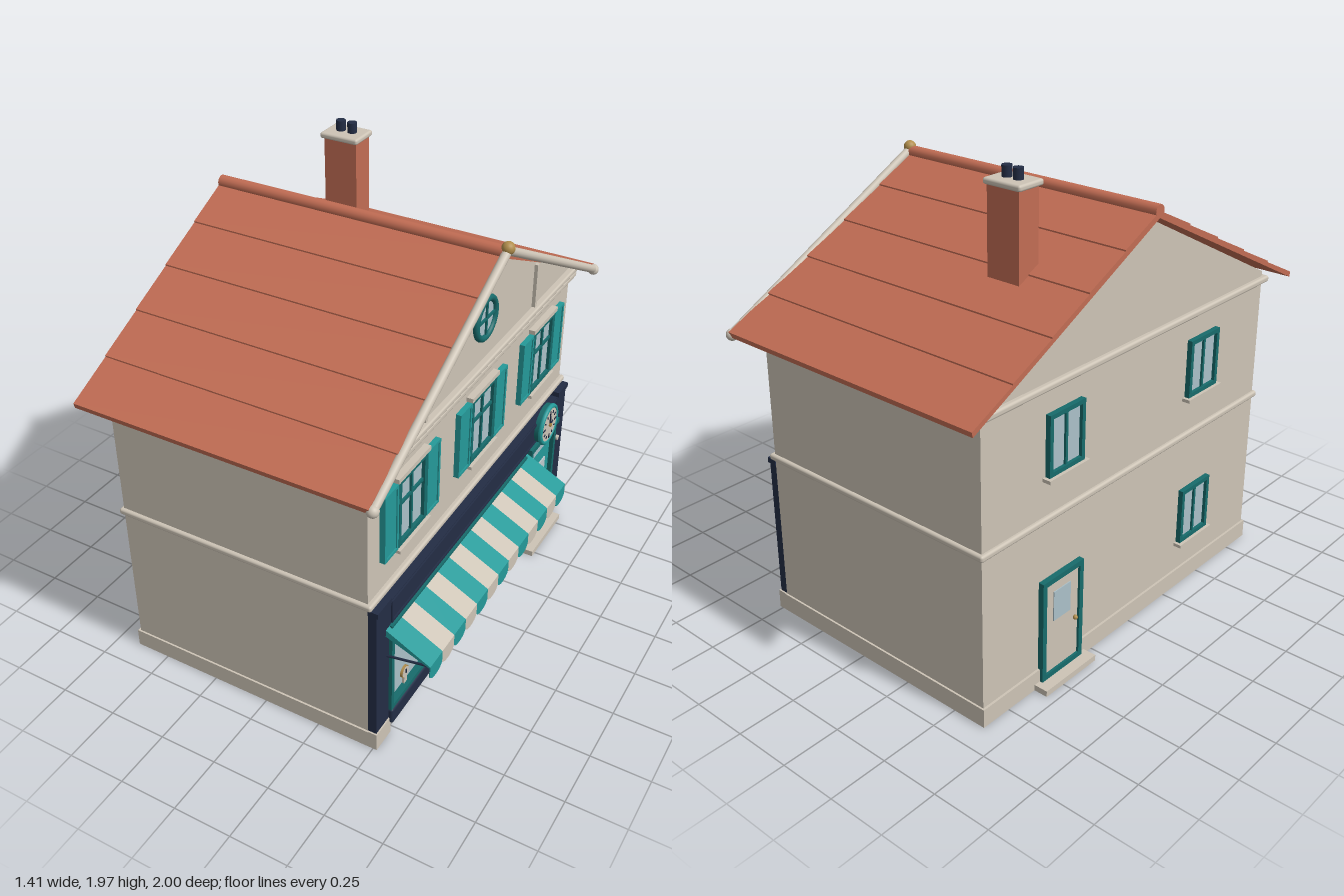
import * as THREE from 'three';
import { RoundedBoxGeometry } from 'three/addons/geometries/RoundedBoxGeometry.js';

const mat = (name, color, side = THREE.FrontSide) => {
  const m = new THREE.MeshStandardMaterial({ color, side });
  m.name = name;
  return m;
};

export function createModel() {
  const cream = mat('cream plaster', 0xcdc4b6, THREE.DoubleSide);
  const roofRed = mat('roof terracotta', 0xc26d54);
  const teal = mat('teal paint', 0x249a99, THREE.DoubleSide);
  const darkTeal = mat('dark teal frames', 0x176b6b);
  const navy = mat('navy paint', 0x232d45);
  const glass = mat('window glass', 0xabc0c8);
  const paleGlass = mat('pale door glass', 0xbfcacd);
  const brass = mat('brass', 0xb08d4c);

  const model = new THREE.Group();
  const shop = new THREE.Group(); // built facing local +z, then turned to face +x
  shop.name = 'shopBuilding';
  shop.rotation.y = Math.PI / 2;
  model.add(shop);

  const add = (parent, name, geo, material, x = 0, y = 0, z = 0) => {
    const m = new THREE.Mesh(geo, material);
    m.name = name;
    m.position.set(x, y, z);
    parent.add(m);
    return m;
  };
  // Box given by its extents
  const box = (parent, name, material, x0, x1, y0, y1, z0, z1, round = 0) => {
    const s = [x1 - x0, y1 - y0, z1 - z0];
    const geo = round ? new RoundedBoxGeometry(...s, 2, round) : new THREE.BoxGeometry(...s);
    return add(parent, name, geo, material, (x0 + x1) / 2, (y0 + y1) / 2, (z0 + z1) / 2);
  };
  const disc = (parent, name, material, r, depth, x, y, z) =>
    add(parent, name, new THREE.CylinderGeometry(r, r, depth, 32).rotateX(Math.PI / 2), material, x, y, z);
  const rod = (parent, name, material, a, b, r) => {
    const A = new THREE.Vector3(...a), B = new THREE.Vector3(...b);
    const m = add(parent, name, new THREE.CylinderGeometry(r, r, A.distanceTo(B), 14), material);
    m.position.copy(A).add(B).multiplyScalar(0.5);
    m.quaternion.setFromUnitVectors(new THREE.Vector3(0, 1, 0), B.sub(A).normalize());
    return m;
  };
  const poly = (pts) => new THREE.Shape(pts.map((p) => new THREE.Vector2(...p)));
  const extrude = (shape, depth) => new THREE.ExtrudeGeometry(shape, { depth, bevelEnabled: false, curveSegments: 16 });
  // Rectangular frame with an opening
  const frame = (parent, name, material, x0, x1, y0, y1, t, depth) => {
    const s = poly([[x0, y0], [x1, y0], [x1, y1], [x0, y1]]);
    s.holes.push(poly([[x0 + t, y0 + t], [x0 + t, y1 - t], [x1 - t, y1 - t], [x1 - t, y0 + t]]));
    return add(parent, name, extrude(s, depth), material);
  };

  // Walls with gables, plinth and horizontal mouldings
  add(shop, 'walls', extrude(poly([[-0.88, 0], [0.88, 0], [0.88, 1.3], [0, 1.752], [-0.88, 1.3]]), 1.115), cream, 0, 0, -0.64);
  box(shop, 'plinth', cream, -0.888, 0.888, 0.001, 0.08, -0.65, 0.485);
  box(shop, 'floorBand', cream, -0.895, 0.895, 0.715, 0.742, -0.655, 0.495, 0.01);
  box(shop, 'eavesCornice', cream, -0.91, 0.91, 1.25, 1.278, -0.66, 0.5, 0.01);
  box(shop, 'gableFrieze', cream, -0.94, 0.94, 1.28, 1.305, 0.47, 0.505, 0.008);
  for (const x of [-0.48, 0.48]) box(shop, 'gablePost', cream, x - 0.009, x + 0.009, 1.3, 1.5, 0.47, 0.49);

  // Roof: overlapping courses in a stepped profile
  const line = (x) => 1.785 - 0.51 * x;
  const half = [[0, 1.785]];
  for (let k = 0; k < 5; k++) {
    const x = (k + 1) * 0.199;
    half.push([x, line(x) + 0.006]);
    if (k < 4) half.push([x, line(x)]);
  }
  half.push([0.99, 1.262]);
  const mirrored = half.slice(1).reverse().map(([x, y]) => [-x, y]);
  add(shop, 'roof', extrude(poly([...half, [0, 1.758], ...mirrored]), 1.255), roofRed, 0, 0, -0.71);
  rod(shop, 'ridge', roofRed, [0, 1.784, -0.71], [0, 1.784, 0.55], 0.026);
  for (const s of [-1, 1]) {
    rod(shop, 'vergeMoulding', cream, [s * 0.975, 1.268, 0.55], [0, 1.793, 0.555], 0.018);
    add(shop, 'vergeEnd', new THREE.SphereGeometry(0.024, 20, 14), cream, s * 0.975, 1.266, 0.55);
  }
  add(shop, 'apexFinial', new THREE.SphereGeometry(0.026, 20, 14), brass, 0, 1.803, 0.556);

  // Chimney
  box(shop, 'chimneyStack', roofRed, 0.345, 0.45, 1.48, 1.91, -0.435, -0.285);
  box(shop, 'chimneyCap', cream, 0.332, 0.465, 1.902, 1.927, -0.45, -0.275, 0.01);
  for (const z of [-0.388, -0.335]) rod(shop, 'chimneyPot', navy, [0.4, 1.92, z], [0.4, 1.97, z], 0.02);

  // Sash window standing on the z = 0 plane of its parent
  const window_ = (parent, x, y, w, h, crossbar) => {
    const g = new THREE.Group();
    g.name = 'window';
    g.position.set(x, y, 0);
    parent.add(g);
    frame(g, 'windowFrame', darkTeal, -w / 2, w / 2, 0, h, 0.018, 0.022);
    box(g, 'windowGlass', glass, -w / 2 + 0.01, w / 2 - 0.01, 0.01, h - 0.01, 0, 0.008);
    box(g, 'mullion', darkTeal, -0.006, 0.006, 0.01, h - 0.01, 0, 0.017);
    if (crossbar) box(g, 'glazingBar', darkTeal, -w / 2 + 0.01, w / 2 - 0.01, h * 0.6, h * 0.6 + 0.012, 0, 0.017);
    box(g, 'sill', cream, -w / 2 - 0.015, w / 2 + 0.015, -0.014, 0, -0.01, 0.036);
    return g;
  };

  const facade = new THREE.Group();
  facade.name = 'facade';
  facade.position.z = 0.475;
  shop.add(facade);

  // Upper windows with shutters and lintels
  for (const x of [-0.585, 0, 0.585]) {
    const g = window_(facade, x, 0.875, 0.21, 0.3, true);
    box(g, 'lintel', cream, -0.12, 0.12, 0.303, 0.322, -0.01, 0.028);
    for (const s of [-1, 1]) {
      const a = s * 0.11, b = s * 0.21;
      const x0 = Math.min(a, b), x1 = Math.max(a, b);
      box(g, 'shutter', teal, x0, x1, 0, 0.297, 0, 0.018);
      frame(g, 'shutterEdge', teal, x0, x1, 0, 0.297, 0.012, 0.023);
    }
  }

  // Round gable window
  disc(facade, 'roundGlass', glass, 0.08, 0.016, 0, 1.49, 0);
  add(facade, 'roundFrame', new THREE.TorusGeometry(0.082, 0.014, 10, 40), darkTeal, 0, 1.49, 0.008);
  box(facade, 'roundBar', darkTeal, -0.005, 0.005, 1.41, 1.57, 0, 0.015);
  box(facade, 'roundBar', darkTeal, -0.08, 0.08, 1.485, 1.495, 0, 0.015);

  // Shopfront woodwork
  for (const s of [-1, 1]) {
    box(facade, 'pilaster', navy, s * 0.832 - 0.048, s * 0.832 + 0.048, 0.08, 0.713, 0, 0.036);
    box(facade, 'pilasterCapital', navy, s * 0.832 - 0.052, s * 0.832 + 0.052, 0.69, 0.713, 0, 0.044);
    box(facade, 'pilasterFoot', cream, s * 0.832 - 0.055, s * 0.832 + 0.055, 0, 0.082, 0, 0.042);
  }
  box(facade, 'fascia', navy, -0.784, 0.784, 0.575, 0.69, 0, 0.036);
  frame(facade, 'fasciaBorder', navy, -0.77, 0.77, 0.58, 0.685, 0.01, 0.042);
  box(facade, 'stallRiser', navy, -0.784, 0.44, 0.052, 0.128, 0, 0.055, 0.012);
  frame(facade, 'shopWindowFrame', darkTeal, -0.784, 0.44, 0.128, 0.575, 0.02, 0.05);
  box(facade, 'shopWindowGlass', glass, -0.775, 0.43, 0.135, 0.57, 0, 0.022);
  for (const x of [-0.465, -0.172, 0.12]) box(facade, 'shopMullion', darkTeal, x - 0.007, x + 0.007, 0.14, 0.57, 0, 0.04);
  disc(facade, 'doorbell', cream, 0.012, 0.012, 0.815, 0.445, 0.04);

  // Small clocks on display
  [-0.64, -0.405, -0.172, 0.06, 0.29].forEach((x, i) => {
    const r = i % 2 ? 0.021 : 0.027;
    disc(facade, 'displayClockRim', brass, r, 0.01, x, 0.205, 0.027);
    disc(facade, 'displayClockFace', cream, r * 0.88, 0.012, x, 0.205, 0.028);
    box(facade, 'displayClockHand', navy, x - 0.0025, x + 0.0025, 0.2, 0.205 + r * 0.6, 0.03, 0.037);
    box(facade, 'displayClockStand', cream, x - 0.011, x + 0.011, 0.148, 0.182, 0.02, 0.033);
  });

  // Striped awning with a scalloped valance
  const n = 13, x0 = -0.81, w = 1.275 / n;
  for (let i = 0; i < n; i++) {
    const paint = i % 2 ? cream : teal, x = x0 + i * w;
    const slope = extrude(poly([[0.036, 0.572], [0.036, 0.54], [0.22, 0.468], [0.225, 0.475]]), w);
    add(facade, 'awningStripe', slope.rotateY(-Math.PI / 2), paint, x + w, 0, 0);
    const flap = new THREE.Shape();
    flap.moveTo(0, 0.475);
    flap.lineTo(0, 0.425);
    flap.bezierCurveTo(0.012, 0.392, w - 0.012, 0.392, w, 0.425);
    flap.lineTo(w, 0.475);
    add(facade, 'valanceScallop', extrude(flap, 0.004), paint, x, 0, 0.221);
  }
  for (const x of [-0.8, 0.455]) rod(facade, 'awningArm', navy, [x, 0.43, 0.02], [x, 0.47, 0.222], 0.005);

  // Entrance door, transom and step
  box(facade, 'doorLeaf', teal, 0.5, 0.76, 0.025, 0.56, 0, 0.03);
  frame(facade, 'doorFrame', darkTeal, 0.487, 0.77, 0.025, 0.57, 0.022, 0.05);
  box(facade, 'doorTransom', glass, 0.512, 0.745, 0.485, 0.55, 0.02, 0.034);
  box(facade, 'doorPane', paleGlass, 0.55, 0.695, 0.22, 0.41, 0.02, 0.036);
  box(facade, 'doorHead', darkTeal, 0.475, 0.78, 0.562, 0.585, 0, 0.058);
  rod(facade, 'doorHandle', brass, [0.538, 0.19, 0.045], [0.538, 0.275, 0.045], 0.006);
  box(facade, 'doorStep', cream, 0.47, 0.79, 0, 0.026, 0, 0.1);

  // Wall clock over the door
  const clock = new THREE.Group();
  clock.name = 'wallClock';
  clock.position.set(0.625, 0.643, 0.05);
  facade.add(clock);
  disc(clock, 'clockCase', darkTeal, 0.094, 0.03, 0, 0, 0);
  add(clock, 'clockRim', new THREE.TorusGeometry(0.087, 0.011, 10, 40), teal, 0, 0, 0.012);
  disc(clock, 'clockFace', cream, 0.08, 0.006, 0, 0, 0.016);
  for (let i = 0; i < 12; i++) {
    const a = (i * Math.PI) / 6, long = i % 3 === 0;
    const tick = add(clock, 'hourMark', new THREE.BoxGeometry(0.007, long ? 0.022 : 0.013, 0.004), navy, Math.sin(a) * 0.06, Math.cos(a) * 0.06, 0.02);
    tick.rotation.z = -a;
  }
  box(clock, 'minuteHand', navy, -0.003, 0.003, 0, 0.046, 0.019, 0.024);
  const hour = box(clock, 'hourHand', navy, 0, 0.03, 0, 0.006, 0.019, 0.024);
  hour.rotation.z = 0.4;
  disc(clock, 'clockHub', brass, 0.009, 0.012, 0, 0, 0.022);

  // Rear wall: windows, back door and step
  const rear = new THREE.Group();
  rear.name = 'rearWall';
  rear.position.z = -0.64;
  rear.rotation.y = Math.PI;
  shop.add(rear);
  for (const [x, y] of [[-0.44, 0.905], [0.44, 0.905], [0.44, 0.22]]) window_(rear, x, y, 0.2, 0.25, false);
  box(rear, 'backDoorLeaf', cream, -0.56, -0.34, 0.025, 0.46, 0, 0.014);
  frame(rear, 'backDoorFrame', darkTeal, -0.57, -0.33, 0.025, 0.47, 0.022, 0.024);
  box(rear, 'backDoorPane', glass, -0.5, -0.4, 0.27, 0.4, 0.01, 0.018);
  add(rear, 'backDoorKnob', new THREE.SphereGeometry(0.01, 12, 8), brass, -0.37, 0.22, 0.02);
  box(rear, 'backStep', cream, -0.6, -0.3, 0, 0.025, 0, 0.07);

  return model;
}
